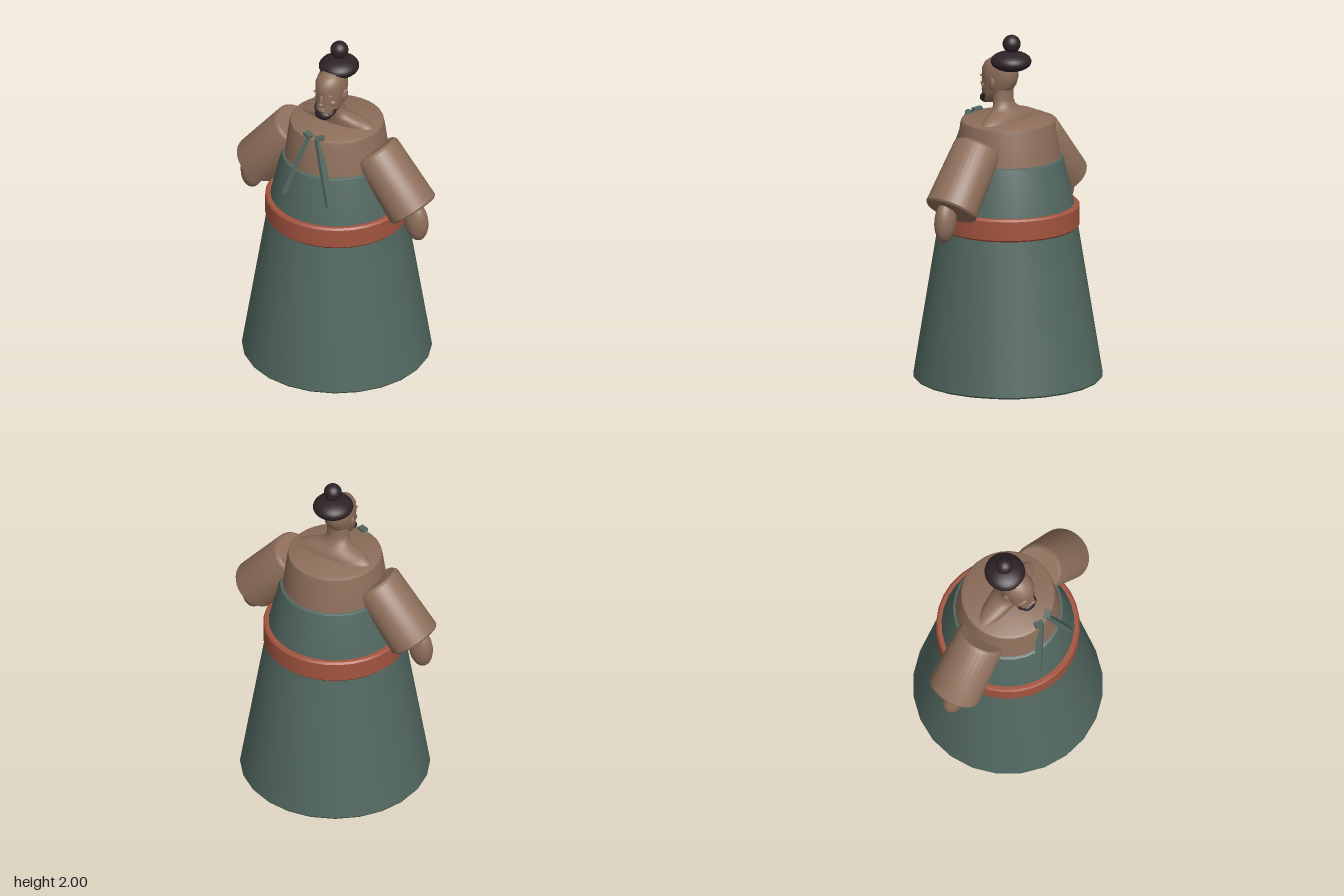
import * as THREE from 'three';
import { toCreasedNormals } from 'three/addons/utils/BufferGeometryUtils.js';

const mat = (name, color) => {
  const m = new THREE.MeshStandardMaterial({ color });
  m.name = name;
  return m;
};

// Solid of revolution from [radius, y] pairs, bottom to top
function lathe(points, sides) {
  const g = new THREE.LatheGeometry(points.map(([r, y]) => new THREE.Vector2(r, y)), sides);
  return toCreasedNormals(g, 0.7);
}

// Smooth body through oval rings: [y, half width, front z, back z], bottom to top
function loft(rings, sides = 32) {
  const pos = [], index = [];
  rings.forEach(([y, rx, zf, zb], i) => {
    for (let j = 0; j < sides; j++) {
      const a = (j / sides) * Math.PI * 2;
      pos.push(rx * Math.cos(a), y, (zf + zb) / 2 + ((zf - zb) / 2) * Math.sin(a));
      if (i === rings.length - 1) continue;
      const p = i * sides + j, q = i * sides + ((j + 1) % sides);
      index.push(p, p + sides, q, q, p + sides, q + sides);
    }
  });
  const g = new THREE.BufferGeometry();
  g.setAttribute('position', new THREE.Float32BufferAttribute(pos, 3));
  g.setIndex(index);
  g.computeVertexNormals();
  return g;
}

export function createModel() {
  const model = new THREE.Group();
  const skin = mat('skin', 0x8d6e5a);
  const cloth = mat('green cloth', 0x526860);
  const sash = mat('red sash', 0xa3543f);
  const hair = mat('dark hair', 0x2e2226);

  const add = (name, geometry, material, parent = model) => {
    const m = new THREE.Mesh(geometry, material);
    m.name = name;
    parent.add(m);
    return m;
  };
  const ball = (name, material, [x, y, z], [rx, ry, rz], parent = model) => {
    const m = add(name, new THREE.SphereGeometry(1, 28, 18), material, parent);
    m.position.set(x, y, z);
    m.scale.set(rx, ry, rz);
    return m;
  };

  // Robe, belt and bare chest
  add('skirt', lathe([[0, 0.09], [0.508, 0.09], [0.515, 0.1], [0.375, 0.97], [0, 0.97]], 24), cloth);
  add('bodice', lathe([[0.375, 0.95], [0.36, 1.06], [0.302, 1.3], [0.298, 1.315], [0.285, 1.322], [0.2, 1.322]], 32), cloth);
  add('belt', lathe([[0.34, 0.935], [0.38, 0.935], [0.389, 0.945], [0.389, 1.05], [0.38, 1.06], [0.34, 1.06]], 32), sash);
  add('chest', lathe([[0.287, 1.3], [0.258, 1.505], [0.253, 1.523], [0.238, 1.531], [0, 1.531]], 32), skin);

  // Shoulders and neck
  add('neck', loft([
    [1.515, 0.24, 0.065, -0.085], [1.54, 0.218, 0.066, -0.08], [1.562, 0.165, 0.07, -0.068],
    [1.58, 0.1, 0.075, -0.05], [1.605, 0.069, 0.08, -0.03], [1.64, 0.062, 0.085, -0.017],
    [1.7, 0.062, 0.085, -0.02],
  ]), skin);

  // Head and face
  const head = new THREE.Group();
  head.name = 'head';
  model.add(head);
  add('skull', loft([
    [1.603, 0, 0.13, 0.13], [1.606, 0.025, 0.15, 0.1], [1.622, 0.046, 0.16, 0.065],
    [1.65, 0.062, 0.163, 0.025], [1.68, 0.07, 0.162, -0.012], [1.72, 0.077, 0.158, -0.042],
    [1.76, 0.081, 0.163, -0.054], [1.8, 0.08, 0.162, -0.055], [1.835, 0.071, 0.142, -0.05],
    [1.86, 0.048, 0.105, -0.035], [1.87, 0, 0.04, 0.04],
  ]), skin, head);
  const bridge = ball('noseBridge', skin, [0, 1.728, 0.16], [0.011, 0.036, 0.015], head);
  bridge.rotation.x = -0.25;
  ball('noseTip', skin, [0, 1.702, 0.167], [0.016, 0.012, 0.018], head);
  ball('upperLip', skin, [0, 1.672, 0.162], [0.024, 0.006, 0.009], head);
  ball('lowerLip', skin, [0, 1.661, 0.161], [0.02, 0.006, 0.009], head);
  for (const s of [1, -1]) {
    const ear = ball('ear', skin, [s * 0.08, 1.728, 0.05], [0.012, 0.036, 0.021], head);
    ear.rotation.set(-0.2, s * -0.25, s * -0.12);
    ball('brow', skin, [s * 0.035, 1.758, 0.142], [0.025, 0.007, 0.013], head);
    ball('eyelid', skin, [s * 0.034, 1.738, 0.14], [0.015, 0.007, 0.01], head);
    ball('cheek', skin, [s * 0.043, 1.705, 0.12], [0.024, 0.02, 0.022], head);
  }

  // Beard: chin tuft with two sides rising along the jaw
  ball('beard', hair, [0, 1.629, 0.142], [0.05, 0.029, 0.034], head);
  const jawLine = new THREE.CatmullRomCurve3([
    [-0.056, 1.668, 0.113], [-0.05, 1.642, 0.127], [0, 1.632, 0.16], [0.05, 1.642, 0.127], [0.056, 1.668, 0.113],
  ].map((p) => new THREE.Vector3(...p)));
  add('beardSides', new THREE.TubeGeometry(jawLine, 24, 0.012, 10), hair, head);

  // Hair cap and topknot
  ball('hairCap', hair, [0, 1.853, -0.021], [0.109, 0.055, 0.112], head);
  ball('topknot', hair, [0, 1.951, -0.025], [0.049, 0.049, 0.049], head);

  // Arms, ribbons and feet, mirrored
  const sleeveShape = lathe([[0, 0], [0.128, 0], [0.137, 0.01], [0.126, 0.378], [0.113, 0.393], [0, 0.393]], 32);
  for (const s of [1, -1]) {
    const side = s > 0 ? 'left' : 'right';
    const sleeve = add(side + 'Sleeve', sleeveShape, skin);
    sleeve.position.set(s * 0.495, 1.11, 0.01);
    sleeve.rotation.z = s * 0.674;
    sleeve.scale.z = 1.09;
    const hand = ball(side + 'Hand', skin, [s * 0.52, 1.055, 0.025], [0.068, 0.115, 0.056]);
    hand.rotation.z = s * 0.1;

    // Ribbon hanging from the collar
    const top = new THREE.Vector3(s * 0.03, 1.53, 0.243);
    const end = new THREE.Vector3(s * 0.143, 1.175, 0.312);
    const ribbon = add(side + 'Ribbon', new THREE.BoxGeometry(0.036, 0.024, top.distanceTo(end)), cloth);
    ribbon.position.copy(top).lerp(end, 0.5);
    ribbon.lookAt(end);
    ribbon.rotateZ(s * -0.2);
    const fold = add(side + 'RibbonFold', new THREE.BoxGeometry(0.05, 0.018, 0.035), cloth);
    fold.position.set(s * 0.036, 1.536, 0.238);
    fold.rotation.set(0, s * 0.45, s * 0.15);

    ball(side + 'Foot', cloth, [s * 0.135, 0.09, 0.08], [0.135, 0.09, 0.242]);
  }
  return model;
}
